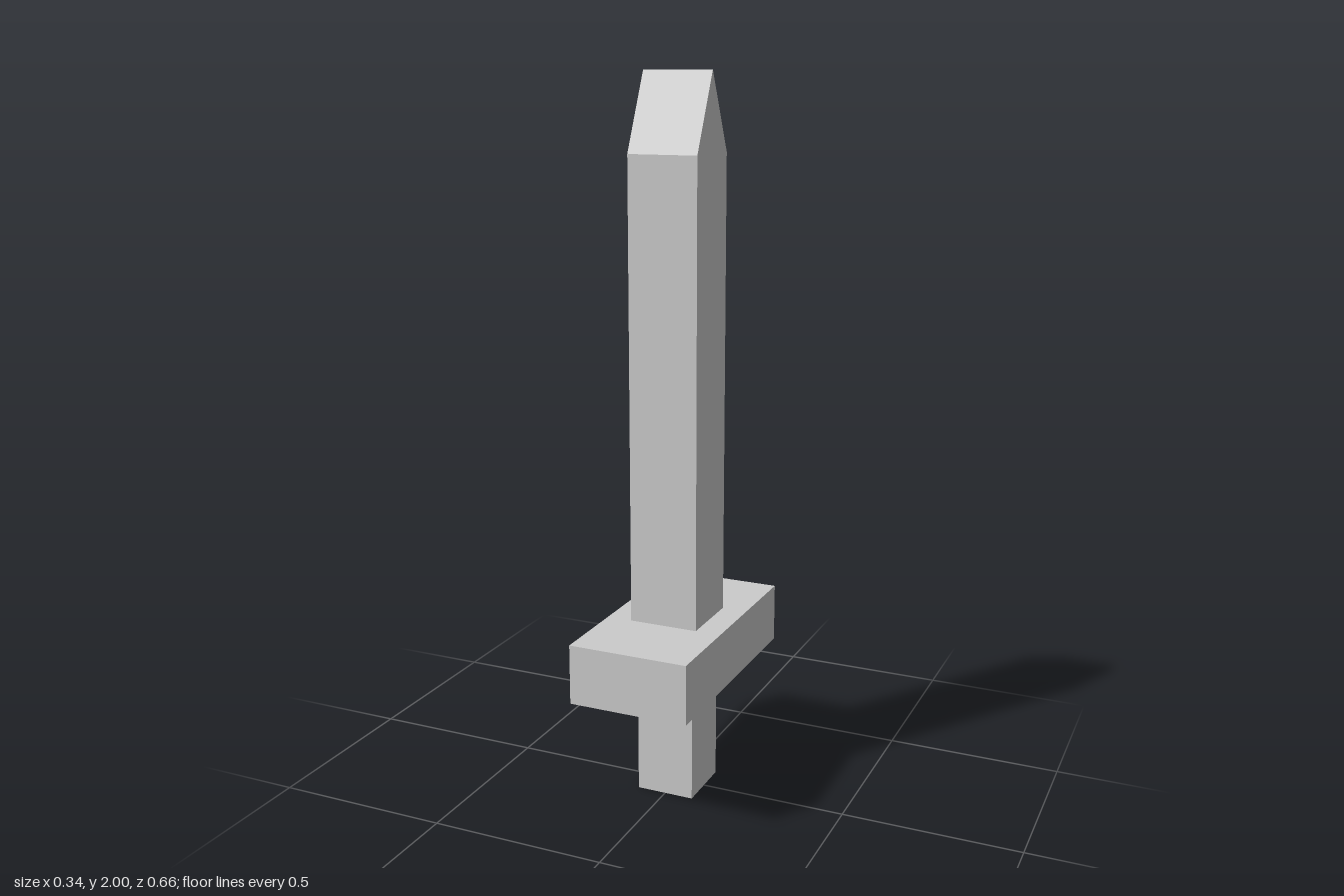
import * as THREE from 'three';

const material = new THREE.MeshStandardMaterial({ color: 0xcccccc, flatShading: true });

// Extrudes an outline centred along z
function prism(name, points, depth) {
  const shape = new THREE.Shape(points.map(([x, y]) => new THREE.Vector2(x, y)));
  const geometry = new THREE.ExtrudeGeometry(shape, { depth, bevelEnabled: false });
  geometry.translate(0, 0, -depth / 2);
  const mesh = new THREE.Mesh(geometry, material);
  mesh.name = name;
  return mesh;
}

export function createModel() {
  const sword = new THREE.Group();
  sword.name = 'sword';

  // Grip, flaring sideways into the underside of the guard
  const grip = prism('grip', [
    [-0.083, 0], [0.083, 0], [0.083, 0.318], [0.168, 0.345],
    [-0.168, 0.345], [-0.083, 0.318],
  ], 0.176);
  sword.add(grip);

  // Crossguard, long from front to back
  const guard = new THREE.Mesh(new THREE.BoxGeometry(0.34, 0.168, 0.658), material);
  guard.name = 'guard';
  guard.position.y = 0.429;
  sword.add(guard);

  // Square blade ending in a wedge whose ridge runs along x
  const blade = prism('blade', [
    [-0.098, 0.513], [0.098, 0.513], [0.098, 1.79], [0, 2], [-0.098, 1.79],
  ], 0.196);
  blade.rotation.y = Math.PI / 2;
  sword.add(blade);

  return sword;
}
